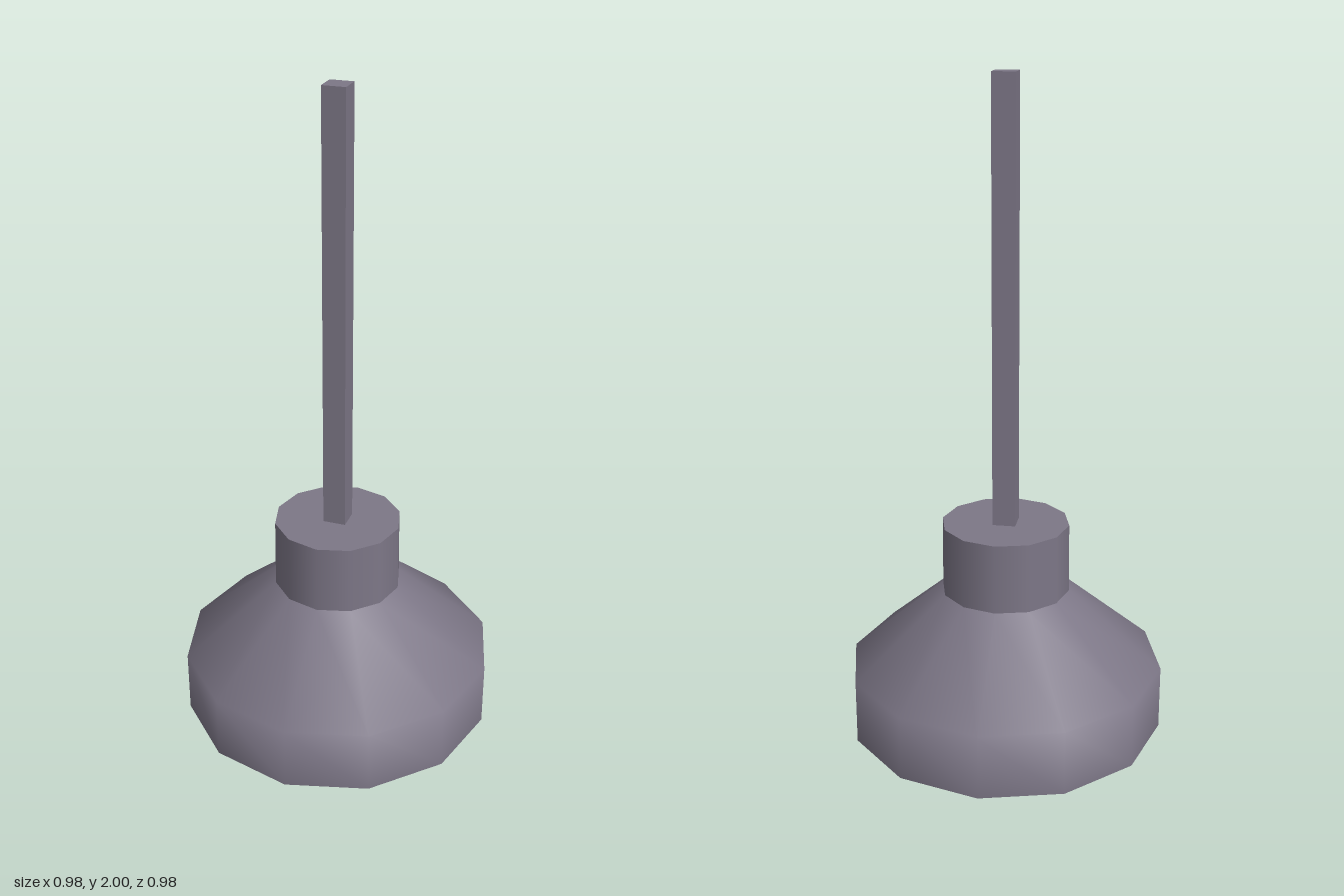
import * as THREE from 'three';

export function createModel() {
  const group = new THREE.Group();
  const grey = new THREE.MeshStandardMaterial({ color: 0x7d7787, side: THREE.DoubleSide });
  grey.name = 'mauve grey';
  const add = (name, geometry, y) => {
    const mesh = new THREE.Mesh(geometry, grey);
    mesh.name = name;
    mesh.position.y = y;
    group.add(mesh);
  };

  // Hollow twelve-sided cup, open underneath, smooth across the shoulder
  const profile = [[0.488, 0], [0.488, 0.2], [0.198, 0.445]];
  add('cup', new THREE.LatheGeometry(profile.map(([r, y]) => new THREE.Vector2(r, y)), 12), 0);

  // Collar that grips the handle
  add('collar', new THREE.CylinderGeometry(0.196, 0.198, 0.215, 12), 0.5525);

  // Square handle
  add('handle', new THREE.BoxGeometry(0.07, 1.34, 0.07), 1.33);

  return group;
}
